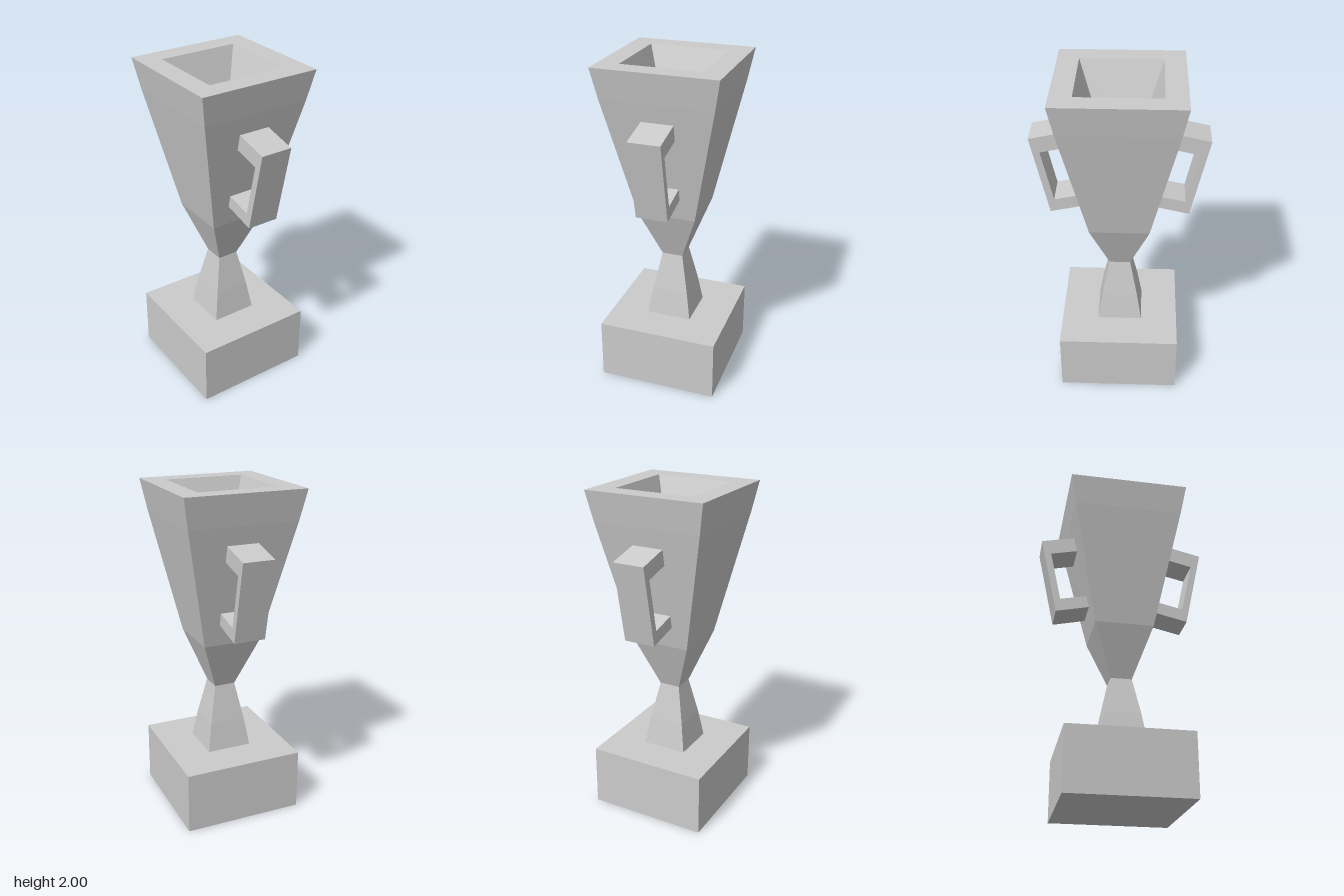
import * as THREE from 'three';

const material = new THREE.MeshStandardMaterial({ color: 0xcccccc, flatShading: true });

// Square-section solid from [half width, height] pairs, listed from bottom to top
function squareLathe(name, profile) {
  const points = profile.map(([w, y]) => new THREE.Vector2(w * Math.SQRT2, y));
  const mesh = new THREE.Mesh(new THREE.LatheGeometry(points, 4, Math.PI / 4), material);
  mesh.name = name;
  return mesh;
}

// C-shaped handle drawn in side profile, ends sunk slightly into the bowl wall
function makeHandle(name, turn) {
  const outline = [
    [0.29, 1.715], [0.51, 1.665], [0.408, 1.18], [0.185, 1.23],
    [0.2, 1.305], [0.383, 1.265], [0.45, 1.58], [0.27, 1.62],
  ].map(([z, y]) => new THREE.Vector2(z, y));
  const geometry = new THREE.ExtrudeGeometry(new THREE.Shape(outline), {
    depth: 0.19, bevelEnabled: false,
  });
  geometry.translate(0, 0, -0.095).rotateY(-Math.PI / 2);
  const mesh = new THREE.Mesh(geometry, material);
  mesh.name = name;
  mesh.rotation.y = turn;
  return mesh;
}

export function createModel() {
  const group = new THREE.Group();
  group.name = 'trophyCup';

  // Plinth
  const base = new THREE.Mesh(new THREE.BoxGeometry(0.73, 0.375, 0.73), material);
  base.name = 'base';
  base.position.y = 0.1875;
  group.add(base);

  // Tapered stem
  group.add(squareLathe('stem', [[0.138, 0.375], [0.11, 0.55], [0.064, 0.78]]));

  // Bowl: outer wall, flat rim, sloping cavity and its floor
  group.add(squareLathe('bowl', [
    [0.064, 0.78], [0.178, 1.09], [0.331, 1.82], [0.364, 2],
    [0.24, 2], [0.072, 1.48], [0, 1.48],
  ]));

  // Handles front and back
  group.add(makeHandle('frontHandle', 0), makeHandle('backHandle', Math.PI));
  return group;
}
